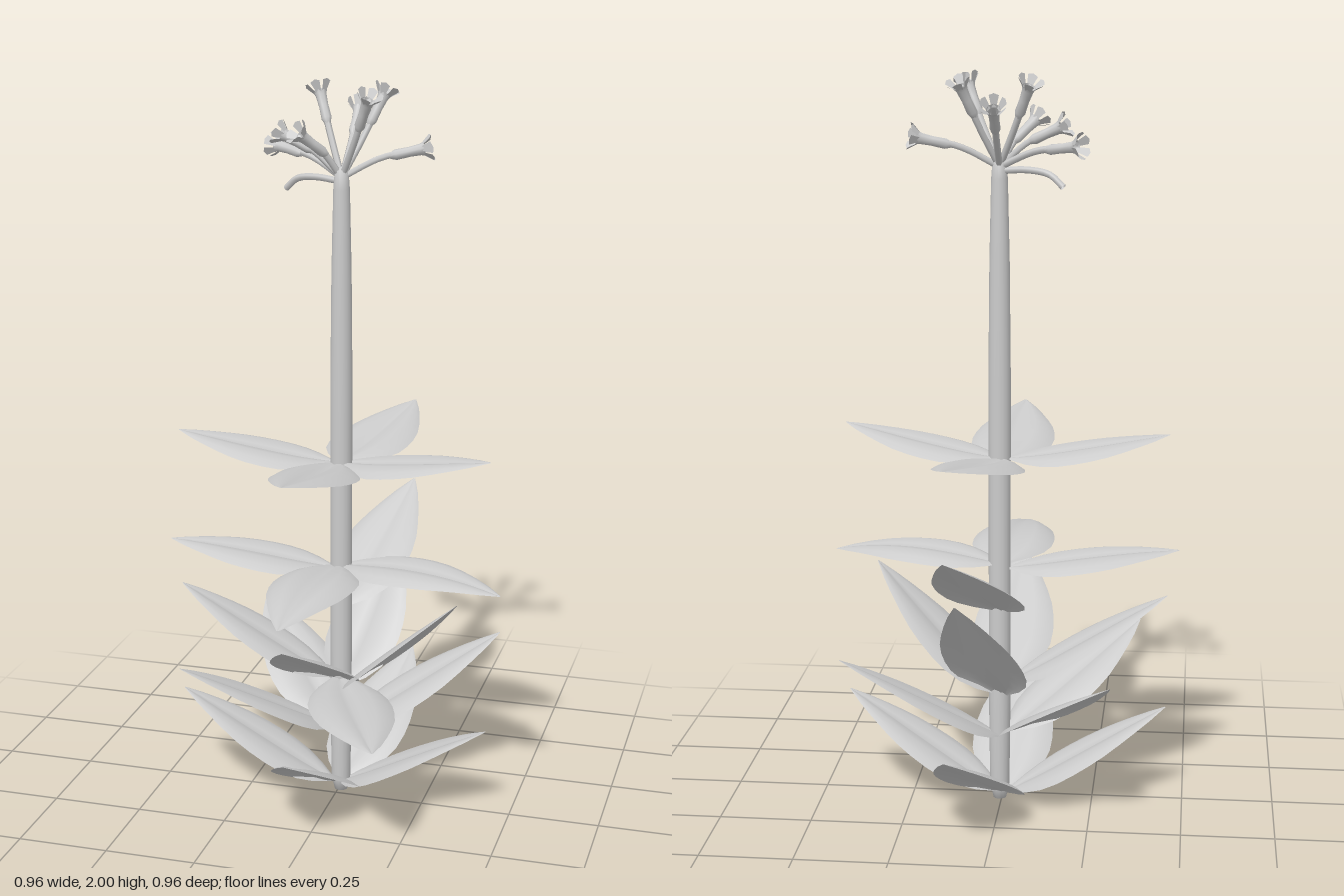
import * as THREE from 'three';

const V = (x, y, z) => new THREE.Vector3(x, y, z);
const AXIS = V(0.006, 0, -0.034);
const ROOT = V(-0.006, 0, -0.04); // where the leaf midribs meet
const mat = new THREE.MeshStandardMaterial({ color: 0xcccccc, side: THREE.DoubleSide });

function addMesh(parent, geometry, name) {
  const mesh = new THREE.Mesh(geometry, mat);
  mesh.name = name;
  parent.add(mesh);
  return mesh;
}

// Half widths of a leaf from base to tip
const LEAF = [0.015, 0.064, 0.096, 0.111, 0.114, 0.11, 0.1, 0.082, 0.06, 0.035, 0.003];

// Cross-section of a leaf: [position across, drop], both relative to the half width
const SECTION = [[-1, 0.2], [-0.8, 0.08], [-0.5, 0], [-0.15, 0.06], [0, 0.14], [0.15, 0.06], [0.5, 0], [0.8, 0.08], [1, 0.2]];

// Lofted leaf with a grooved midrib and soft drooping margins, from the stem to the tip
function leafGeometry(tip, baseY, arch) {
  const out = V(tip.x - ROOT.x, 0, tip.z - ROOT.z);
  const reach = out.length();
  out.normalize();
  const side = V(out.z, 0, -out.x);
  const n = SECTION.length, pos = [], idx = [];
  LEAF.forEach((w, i) => {
    const t = i / (LEAF.length - 1);
    const r = THREE.MathUtils.lerp(0.015, reach, t);
    const y = THREE.MathUtils.lerp(baseY, tip.y, t) + arch * 4 * t * (1 - t);
    SECTION.forEach(([s, drop]) => {
      const p = V(ROOT.x, y - drop * w, ROOT.z).addScaledVector(out, r).addScaledVector(side, s * w);
      pos.push(p.x, p.y, p.z);
    });
  });
  for (let i = 0; i < LEAF.length - 1; i++) {
    for (let j = 0; j < n - 1; j++) {
      const a = i * n + j, b = a + n;
      idx.push(a, b, a + 1, b, b + 1, a + 1);
    }
  }
  const g = new THREE.BufferGeometry();
  g.setAttribute('position', new THREE.Float32BufferAttribute(pos, 3));
  g.setIndex(idx);
  g.computeVertexNormals();
  return g;
}

// Leaves by whorl: tip x, y, z, base height, arch
const WHORLS = [
  [[-0.45, 0.27, -0.005, 0.025, 0.01], [0.44, 0.27, 0.06, 0.025, 0.01], [-0.025, 0.27, 0.42, 0.025, 0.01], [0.105, 0.27, -0.48, 0.025, 0.01]],
  [[-0.37, 0.44, 0.25, 0.2, 0.01], [-0.31, 0.44, -0.35, 0.2, 0.01], [0.42, 0.45, -0.22, 0.19, 0.01], [0.23, 0.37, 0.48, 0.35, 0.01]],
  [[-0.45, 0.59, -0.005, 0.345, 0.01], [0.36, 0.64, 0.09, 0.31, 0.005], [-0.025, 0.59, 0.42, 0.345, 0.01], [0.09, 0.65, -0.36, 0.31, 0.005]],
  [[-0.48, 0.72, -0.005, 0.67, 0.015], [0.475, 0.675, 0.08, 0.68, 0.035], [-0.025, 0.67, 0.46, 0.68, 0.035], [0.105, 0.8, -0.48, 0.55, 0.01]],
  [[-0.45, 1.04, -0.005, 0.975, 0.005], [0.44, 1.04, 0.07, 0.975, 0.005], [-0.025, 1.04, 0.42, 0.975, 0.005], [0.105, 1.04, -0.48, 0.975, 0.005]],
];

// Flower head centres
const FLOWERS = [
  [0.003, 1.9, -0.212], [0.093, 1.95, -0.12], [0.205, 1.825, -0.08], [0.092, 1.95, 0.04],
  [-0.075, 1.86, 0.035], [-0.145, 1.85, -0.045], [-0.19, 1.81, -0.135], [-0.075, 1.95, -0.125],
];

// Stalk, flared throat and splayed petals
function flower(head) {
  const g = new THREE.Group();
  g.name = 'flower';
  const start = V(AXIS.x, 1.75, AXIS.z);
  const bend = start.clone().lerp(head, 0.5).add(V(0, head.y < 1.87 ? 0.015 : -0.005, 0));
  const curve = new THREE.CatmullRomCurve3([start, bend, head]);
  addMesh(g, new THREE.TubeGeometry(curve, 10, 0.009, 6), 'stalk');
  const bloom = new THREE.Group();
  bloom.name = 'bloom';
  bloom.position.copy(head);
  bloom.quaternion.setFromUnitVectors(V(0, 1, 0), curve.getTangent(1));
  const throat = [[0.008, -0.08], [0.014, -0.065], [0.013, -0.03], [0.015, 0], [0.019, 0.012]];
  addMesh(bloom, new THREE.LatheGeometry(throat.map(p => new THREE.Vector2(...p)), 8), 'throat');
  const shape = new THREE.Shape();
  shape.moveTo(-0.006, 0);
  shape.lineTo(0.006, 0);
  shape.lineTo(0.013, 0.032);
  shape.lineTo(0, 0.037);
  shape.lineTo(-0.013, 0.032);
  for (let i = 0; i < 6; i++) {
    const geo = new THREE.ShapeGeometry(shape);
    geo.rotateX(0.65).translate(0, 0.004, 0.013).rotateY(i * Math.PI / 3);
    addMesh(bloom, geo, 'petal');
  }
  g.add(bloom);
  return g;
}

export function createModel() {
  const model = new THREE.Group();
  model.name = 'floweringPlant';

  // Tapered stem
  const profile = [[0, 0], [0.018, 0], [0.027, 0.04], [0.03, 0.3], [0.03, 1.2], [0.027, 1.5], [0.022, 1.72], [0.018, 1.77], [0, 1.78]];
  addMesh(model, new THREE.LatheGeometry(profile.map(p => new THREE.Vector2(...p)), 16), 'stem').position.copy(AXIS);

  // Whorls of leaves
  WHORLS.forEach((whorl, i) => {
    const group = new THREE.Group();
    group.name = 'leafWhorl' + (i + 1);
    for (const [x, y, z, base, arch] of whorl) addMesh(group, leafGeometry(V(x, y, z), base, arch), 'leaf');
    model.add(group);
  });

  // Flower cluster and one bare drooping stalk
  FLOWERS.forEach(p => model.add(flower(V(...p))));
  const droop = new THREE.CatmullRomCurve3([V(AXIS.x, 1.74, AXIS.z), V(-0.07, 1.745, -0.06), V(-0.13, 1.735, -0.085), V(-0.165, 1.705, -0.1)]);
  addMesh(model, new THREE.TubeGeometry(droop, 12, 0.009, 6), 'bareStalk');
  return model;
}
